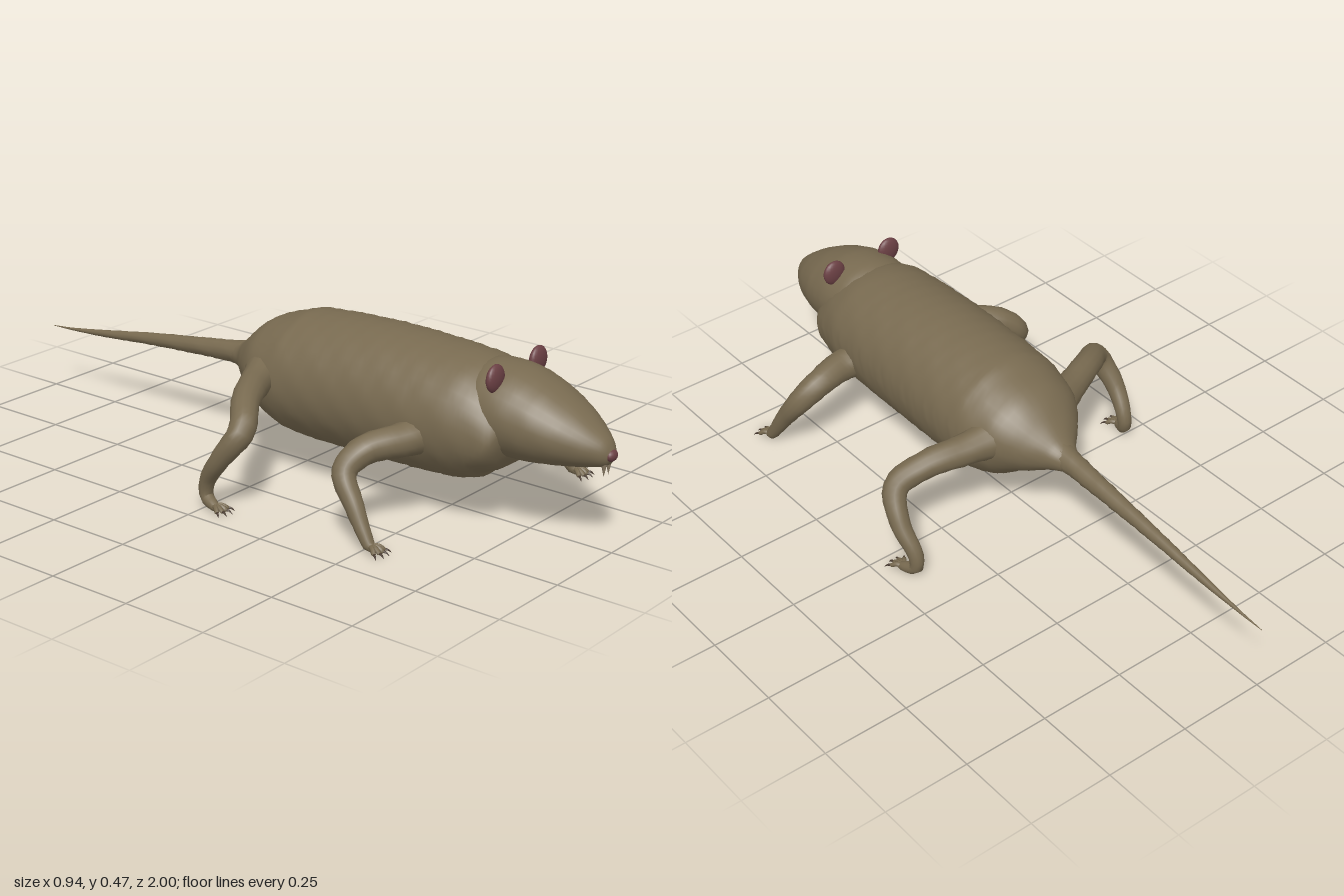
import * as THREE from 'three';
import { mergeVertices } from 'three/addons/utils/BufferGeometryUtils.js';

const hide = new THREE.MeshStandardMaterial({ color: 0x786a50, name: 'brown hide' });
const red = new THREE.MeshStandardMaterial({ color: 0x6b4044, name: 'dull red' });
const ivory = new THREE.MeshStandardMaterial({ color: 0x8c7d66, name: 'stained ivory' });
const horn = new THREE.MeshStandardMaterial({ color: 0x4a3b30, name: 'dark horn' });

function add(group, name, geometry, material) {
  const mesh = new THREE.Mesh(geometry, material);
  mesh.name = name;
  group.add(mesh);
  return mesh;
}

// Swept form through rows of [x, y, z, radius, vertical radius], with slight bumps
function sweep(rows, steps, sides, bump = 0) {
  const curve = new THREE.CatmullRomCurve3(rows.map(r => new THREE.Vector3(r[0], r[1], r[2])));
  const radii = new THREE.CatmullRomCurve3(rows.map(r => new THREE.Vector3(r[3], r[4] ?? r[3], r[3])));
  const geo = new THREE.TubeGeometry(curve, steps, 1, sides);
  const pos = geo.attributes.position;
  const v = new THREE.Vector3();
  for (let i = 0; i <= steps; i++) {
    const u = i / steps;
    const centre = curve.getPointAt(u);
    const size = radii.getPoint(curve.getUtoTmapping(u));
    for (let j = 0; j <= sides; j++) {
      const k = i * (sides + 1) + j;
      const a = j % sides;
      const n = Math.sin(i * 2.3 + a * 4.1) + Math.sin(i * 1.1 - a * 2.7) * Math.cos(a * 1.9 + i * 0.4);
      v.fromBufferAttribute(pos, k).sub(centre).multiply(size).multiplyScalar(1 + bump * n).add(centre);
      pos.setXYZ(k, v.x, v.y, v.z);
    }
  }
  geo.deleteAttribute('uv');
  geo.deleteAttribute('normal');
  const merged = mergeVertices(geo, 1e-5);
  merged.computeVertexNormals();
  return merged;
}

// Leg with a fan of clawed toes
function makeLeg(name, rows) {
  const leg = new THREE.Group();
  leg.name = name;
  add(leg, 'limb', sweep(rows, 36, 14, 0.02), hide);
  const [x, y, z] = rows[rows.length - 2];
  for (let i = 0; i < 4; i++) {
    const angle = (i - 1.5) * 0.42;
    const dx = Math.sin(angle), dz = Math.cos(angle);
    const at = (d, h, r) => [x + dx * d, h, z + dz * d, r];
    add(leg, 'toe', sweep([at(0, y, 0.008), at(0.022, y + 0.002, 0.007), at(0.038, 0.012, 0.006), at(0.042, 0.011, 0.001)], 8, 7), hide);
    add(leg, 'claw', sweep([at(0.036, 0.013, 0.004), at(0.046, 0.012, 0.003), at(0.056, 0.004, 0.0004)], 6, 6), horn);
  }
  return leg;
}

export function createModel() {
  const model = new THREE.Group();
  model.name = 'rodent';

  // Barrel body with a heavy collar in front
  add(model, 'body', sweep([
    [0, 0.27, -0.27, 0.025, 0.025], [0, 0.27, -0.22, 0.048, 0.042], [0, 0.275, -0.16, 0.105, 0.082],
    [0, 0.282, -0.08, 0.165, 0.138], [0, 0.28, 0.02, 0.19, 0.175], [0, 0.282, 0.15, 0.194, 0.182],
    [0, 0.284, 0.3, 0.194, 0.184], [0, 0.283, 0.45, 0.194, 0.18], [0, 0.28, 0.58, 0.188, 0.172],
    [0, 0.265, 0.66, 0.172, 0.146], [0, 0.25, 0.71, 0.155, 0.095], [0, 0.245, 0.735, 0.09, 0.05],
    [0, 0.245, 0.738, 0.002, 0.002],
  ], 76, 36, 0.006), hide);

  // Wedge-shaped head
  add(model, 'head', sweep([
    [0, 0.33, 0.56, 0.1, 0.09], [0, 0.33, 0.64, 0.135, 0.122], [0, 0.324, 0.7, 0.14, 0.124],
    [0, 0.308, 0.79, 0.13, 0.108], [0, 0.291, 0.87, 0.104, 0.082], [0, 0.276, 0.935, 0.067, 0.055],
    [0, 0.268, 0.975, 0.036, 0.034], [0, 0.267, 0.992, 0.015, 0.015], [0, 0.267, 0.995, 0.001, 0.001],
  ], 40, 32, 0.004), hide);

  // Nose, flattened eyes and front teeth
  const nose = add(model, 'nose', new THREE.SphereGeometry(1, 16, 12), red);
  nose.position.set(0, 0.267, 0.986);
  nose.scale.set(0.021, 0.016, 0.014);
  for (const side of [1, -1]) {
    const eye = add(model, side > 0 ? 'leftEye' : 'rightEye', new THREE.SphereGeometry(1, 20, 14), red);
    eye.position.set(side * 0.097, 0.432, 0.693);
    eye.scale.set(0.036, 0.038, 0.016);
    const tooth = add(model, 'tooth', new THREE.ConeGeometry(0.009, 0.04, 8), ivory);
    tooth.position.set(side * 0.011, 0.228, 0.972);
    tooth.rotation.x = Math.PI;
  }

  // Tapering tail
  add(model, 'tail', sweep([
    [0, 0.275, -0.18, 0.045], [0, 0.27, -0.27, 0.032], [0, 0.256, -0.42, 0.025], [0, 0.237, -0.6, 0.018],
    [0, 0.214, -0.78, 0.011], [0, 0.199, -0.92, 0.004], [0, 0.194, -1, 0.0008],
  ], 60, 12, 0.03), hide);

  // Sprawling legs; the right ones take a different stride
  const front = [
    [0.1, 0.25, 0.51, 0.06], [0.2, 0.246, 0.522, 0.045], [0.3, 0.232, 0.507, 0.039], [0.353, 0.185, 0.525, 0.034],
    [0.374, 0.11, 0.575, 0.026], [0.383, 0.05, 0.613, 0.02], [0.387, 0.02, 0.636, 0.016], [0.387, 0.014, 0.66, 0.005],
  ];
  const rear = [
    [0.08, 0.295, -0.06, 0.07], [0.2, 0.292, -0.052, 0.044], [0.32, 0.28, -0.025, 0.039], [0.403, 0.235, -0.005, 0.036],
    [0.43, 0.155, -0.055, 0.028], [0.422, 0.075, -0.11, 0.022], [0.423, 0.032, -0.112, 0.019],
    [0.436, 0.018, -0.075, 0.015], [0.443, 0.013, -0.05, 0.005],
  ];
  const opposite = (rows, shift) => rows.map(([x, y, z, r], i) => [-x, y, z + shift * Math.min(1, i / 3), r]);
  model.add(makeLeg('leftFrontLeg', front), makeLeg('rightFrontLeg', opposite(front, -0.115)));
  model.add(makeLeg('leftRearLeg', rear), makeLeg('rightRearLeg', opposite(rear, 0.11)));
  return model;
}
